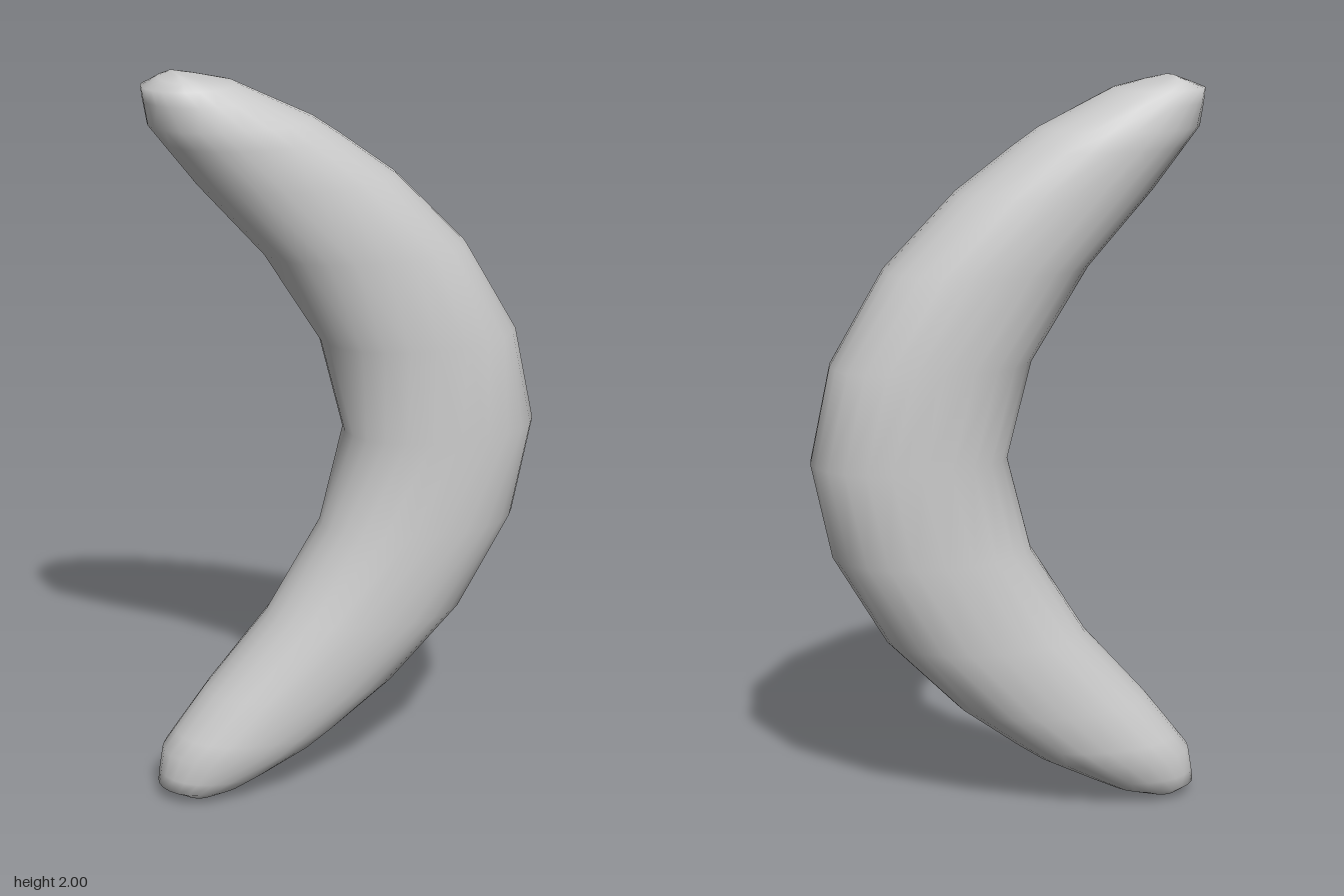
import * as THREE from 'three';

// Upper half of the crescent as level sections: [height, inner x, outer x, half depth]
const SECTIONS = [
  [0, 0, 0.53, 0.183],
  [0.26, -0.066, 0.475, 0.182],
  [0.508, -0.22, 0.33, 0.179],
  [0.707, -0.396, 0.135, 0.169],
  [0.82, -0.483, -0.018, 0.159],
  [0.868, -0.52, -0.088, 0.151],
  [0.93, -0.53, -0.215, 0.131],
  [0.967, -0.535, -0.29, 0.109],
  [0.985, -0.49, -0.375, 0.088],
  [0.997, -0.457, -0.436, 0.047],
];
const TIP_X = -0.45;
const SIDES = 24;

// Slightly squared ellipse
const soften = (v) => Math.sign(v) * Math.abs(v) ** 0.9;

function crescentGeometry() {
  // Mirror the sections below the middle
  const lower = SECTIONS.slice(1).reverse().map(([h, ...rest]) => [-h, ...rest]);
  const rings = [...lower, ...SECTIONS];
  const positions = [];
  const index = [];

  for (const [h, inner, outer, depth] of rings) {
    for (let j = 0; j < SIDES; j++) {
      const a = (j / SIDES) * Math.PI * 2;
      positions.push(
        (inner + outer) / 2 + ((outer - inner) / 2) * soften(Math.cos(a)),
        1 + h,
        depth * Math.sin(a),
      );
    }
  }

  // Skin between neighbouring rings
  for (let i = 0; i < rings.length - 1; i++) {
    for (let j = 0; j < SIDES; j++) {
      const k = (j + 1) % SIDES;
      const a = i * SIDES + j, b = i * SIDES + k;
      index.push(a, a + SIDES, b, b, a + SIDES, b + SIDES);
    }
  }

  // Close both tips
  const bottom = positions.length / 3;
  positions.push(TIP_X, 0, 0, TIP_X, 2, 0);
  const last = (rings.length - 1) * SIDES;
  for (let j = 0; j < SIDES; j++) {
    const k = (j + 1) % SIDES;
    index.push(bottom, j, k);
    index.push(bottom + 1, last + k, last + j);
  }

  const geometry = new THREE.BufferGeometry();
  geometry.setAttribute('position', new THREE.Float32BufferAttribute(positions, 3));
  geometry.setIndex(index);
  geometry.computeVertexNormals();
  return geometry;
}

export function createModel() {
  const group = new THREE.Group();
  group.name = 'crescent';
  const body = new THREE.Mesh(
    crescentGeometry(),
    new THREE.MeshStandardMaterial({ color: 0xcccccc }),
  );
  body.name = 'crescentBody';
  group.add(body);
  return group;
}
